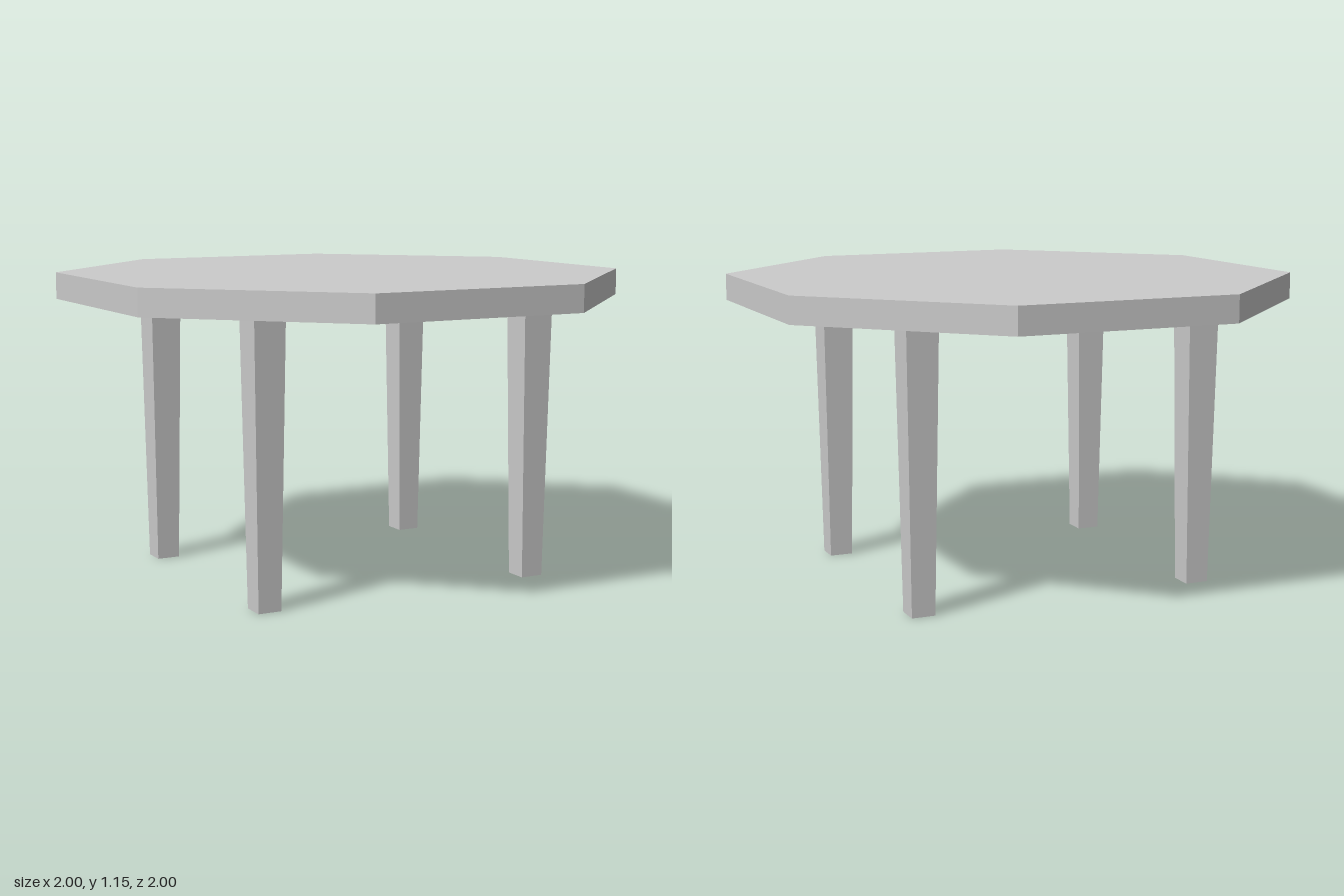
import * as THREE from 'three';

export function createModel() {
  const table = new THREE.Group();
  table.name = 'octagonalTable';
  const material = new THREE.MeshStandardMaterial({ color: 0xcccccc, flatShading: true });

  const height = 1.155, thickness = 0.1;
  const legHeight = height - thickness;

  // Eight-sided top, turned a hair off square
  const topGeometry = new THREE.CylinderGeometry(1.079, 1.079, thickness, 8, 1, false, THREE.MathUtils.degToRad(22.8));
  const top = new THREE.Mesh(topGeometry, material);
  top.name = 'tableTop';
  top.position.y = height - thickness / 2;
  table.add(top);

  // Square legs tapering towards the floor
  const legGeometry = new THREE.CylinderGeometry(0.121 * Math.SQRT1_2, 0.089 * Math.SQRT1_2, legHeight, 4, 1, false, Math.PI / 4);
  for (const [side, x] of [['Left', 0.554], ['Right', -0.556]]) {
    for (const [end, z] of [['front', 0.468], ['back', -0.464]]) {
      const leg = new THREE.Mesh(legGeometry, material);
      leg.name = `${end}${side}Leg`;
      leg.position.set(x, legHeight / 2, z);
      table.add(leg);
    }
  }
  return table;
}
